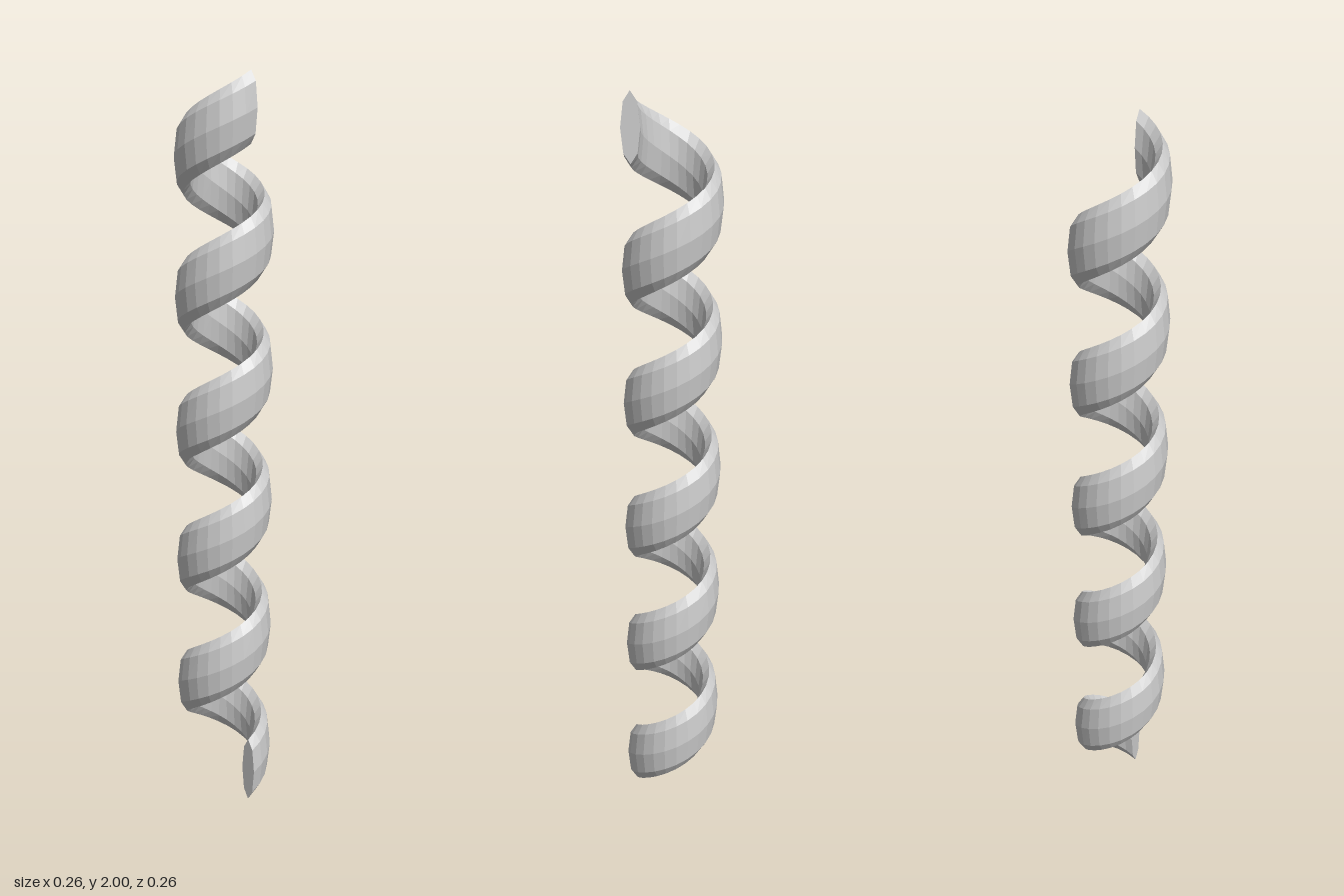
import * as THREE from 'three';

const TURNS = 5, STEPS = 24, SIDES = 8;
const RADIUS = 0.105, HALF_WIDTH = 0.025, HALF_HEIGHT = 0.091;

// Upright oval section swept along a helix, with closed ends
function helixGeometry() {
  const rings = TURNS * STEPS;
  const rise = 2 - 2 * HALF_HEIGHT;
  const positions = [], index = [];
  for (let i = 0; i <= rings; i++) {
    const a = (i / STEPS) * Math.PI * 2;
    const y = HALF_HEIGHT + (rise * i) / rings;
    for (let j = 0; j < SIDES; j++) {
      const b = (j / SIDES) * Math.PI * 2;
      const r = RADIUS + HALF_WIDTH * Math.cos(b);
      positions.push(r * Math.cos(a), y + HALF_HEIGHT * Math.sin(b), -r * Math.sin(a));
    }
  }
  // Coil surface
  for (let i = 0; i < rings; i++) {
    for (let j = 0; j < SIDES; j++) {
      const k = (j + 1) % SIDES;
      const a = i * SIDES + j, b = i * SIDES + k;
      const c = b + SIDES, d = a + SIDES;
      index.push(a, d, c, a, c, b);
    }
  }
  // End caps
  const last = rings * SIDES;
  for (let j = 1; j < SIDES - 1; j++) {
    index.push(0, j, j + 1, last, last + j + 1, last + j);
  }
  const geometry = new THREE.BufferGeometry();
  geometry.setAttribute('position', new THREE.Float32BufferAttribute(positions, 3));
  geometry.setIndex(index);
  geometry.computeVertexNormals();
  return geometry;
}

export function createModel() {
  const group = new THREE.Group();
  group.name = 'spiral';
  const material = new THREE.MeshStandardMaterial({ color: 0xcccccc, flatShading: true });
  const coil = new THREE.Mesh(helixGeometry(), material);
  coil.name = 'coil';
  group.add(coil);
  return group;
}
